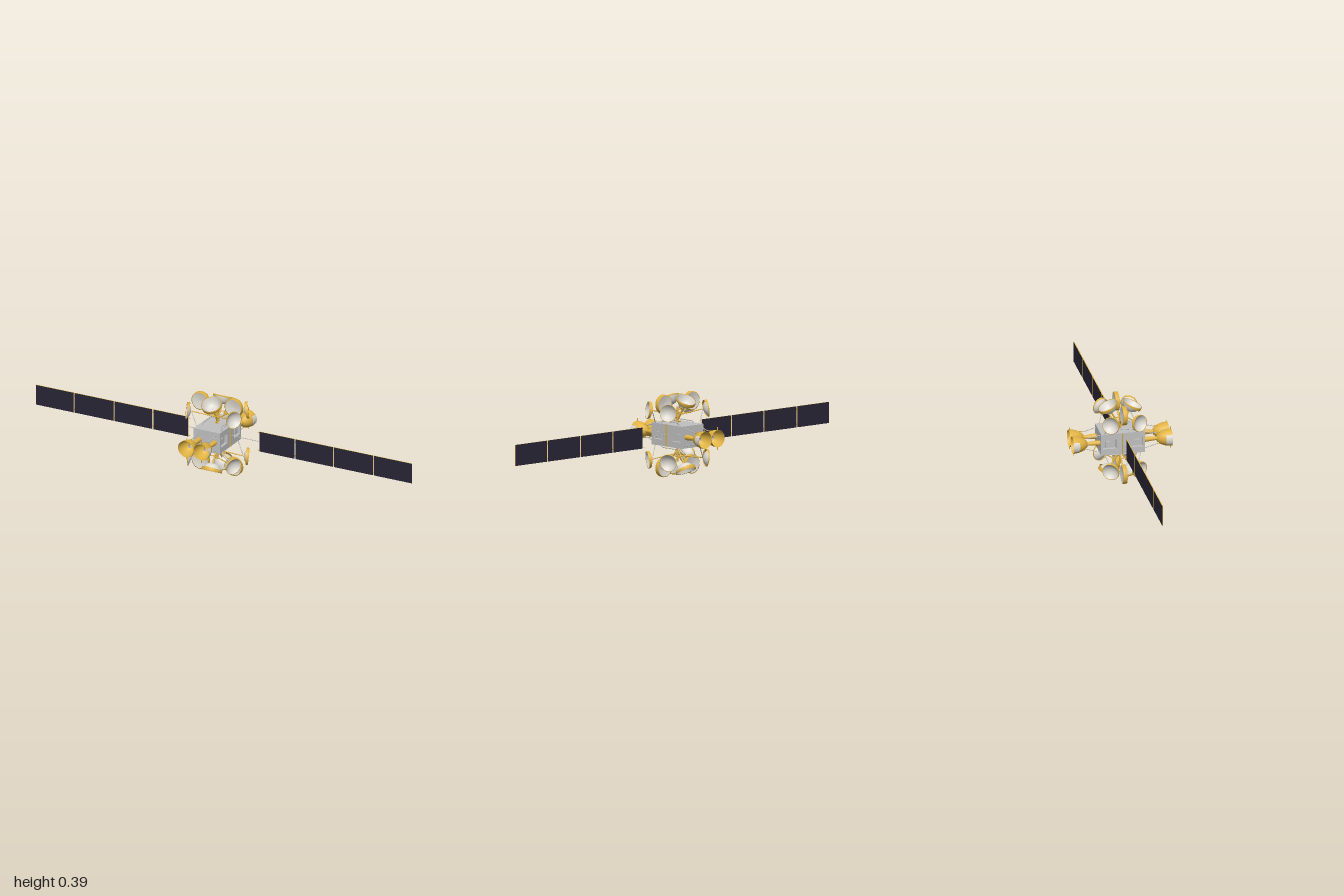
import * as THREE from 'three';

const mat = (name, color, side = THREE.FrontSide) => {
  const m = new THREE.MeshStandardMaterial({ color, side });
  m.name = name;
  return m;
};
const V = (x, y, z) => new THREE.Vector3(x, y, z);

export function createModel() {
  const grey = mat('hullGrey', 0xc0c0c0);
  const white = mat('dishWhite', 0xdfdbd3, THREE.DoubleSide);
  const gold = mat('goldFoil', 0xe0b242, THREE.DoubleSide);
  const navy = mat('solarCell', 0x282535);

  const model = new THREE.Group();
  model.name = 'satellite';
  const hub = new THREE.Group();
  hub.name = 'hub';
  hub.position.set(-0.035, 0.195, 0);
  model.add(hub);

  const add = (parent, name, geo, material, x = 0, y = 0, z = 0) => {
    const m = new THREE.Mesh(geo, material);
    m.name = name;
    m.position.set(x, y, z);
    parent.add(m);
    return m;
  };
  const box = (parent, name, material, w, h, d, x, y, z) =>
    add(parent, name, new THREE.BoxGeometry(w, h, d), material, x, y, z);
  // Straight rod between two points
  const rod = (parent, name, material, a, b, r = 0.002, r2 = r) => {
    const dir = b.clone().sub(a);
    const m = add(parent, name, new THREE.CylinderGeometry(r2, r, dir.length(), 10), material);
    m.position.copy(a).addScaledVector(dir, 0.5);
    m.quaternion.setFromUnitVectors(V(0, 1, 0), dir.normalize());
    return m;
  };
  const lathe = (pts, seg = 36, start = 0, sweep = Math.PI * 2) =>
    new THREE.LatheGeometry(pts.map(([r, y]) => new THREE.Vector2(r, y)), seg, start, sweep);

  // Dish with its rim centred on pos, opening along normal; skew widens the gold band on one side
  const dish = (name, pos, normal, r, depth, power, band, skew) => {
    const g = new THREE.Group();
    g.name = name;
    const bowl = [];
    for (let i = 0; i <= 12; i++) bowl.push([r * 0.97 * i / 12, depth * ((i / 12) ** power - 1)]);
    add(g, 'bowl', lathe(bowl), white);
    const bandGeo = lathe([[r * 0.95, 0], [r, 0.001], [r, -band * 0.5], [r * 0.975, -band]]);
    const p = bandGeo.attributes.position;
    for (let i = 0; i < p.count; i++)
      if (p.getY(i) < 0) p.setY(i, p.getY(i) * (1 + skew * p.getZ(i) / r));
    bandGeo.computeVertexNormals();
    add(g, 'rimBand', bandGeo, gold);
    g.position.copy(pos);
    g.quaternion.setFromUnitVectors(V(0, 1, 0), normal);
    hub.add(g);
  };

  // Body: core and recessed side frames
  box(hub, 'bodyCore', grey, 0.108, 0.105, 0.21, 0, 0, 0);
  const frame = new THREE.Shape();
  frame.moveTo(-0.105, -0.0525).lineTo(0.105, -0.0525).lineTo(0.105, 0.0525).lineTo(-0.105, 0.0525);
  for (const s of [-1, 1]) {
    const a = s * 0.064;
    const hole = new THREE.Path();
    hole.moveTo(a - 0.032, -0.023).lineTo(a - 0.032, 0.024).lineTo(a + 0.032, 0.024).lineTo(a + 0.032, -0.023);
    frame.holes.push(hole);
  }
  const frameGeo = new THREE.ExtrudeGeometry(frame, { depth: 0.016, bevelEnabled: false });
  frameGeo.translate(0, 0, -0.008).rotateY(Math.PI / 2);
  for (const sx of [-1, 1]) {
    add(hub, 'sideFrame', frameGeo, grey, sx * 0.062, 0, 0);
    box(hub, 'sideSeam', gold, 0.004, 0.104, 0.004, sx * 0.071, 0, 0);
    for (const sz of [-1, 1])
      box(hub, 'recessUnit', grey, 0.01, 0.03, 0.025, sx * 0.057, -0.004, sz * 0.07);
  }

  // Antenna clusters above and below
  for (const sy of [-1, 1]) {
    rod(hub, 'mast', gold, V(0, sy * 0.052, 0), V(0, sy * 0.13, 0), 0.006, 0.004);
    rod(hub, 'mastFoot', gold, V(0, sy * 0.062, -0.022), V(0, sy * 0.062, 0.022), 0.003);
    for (const s of [-1, 1]) {
      // Large tilted dish
      dish('mainDish', V(0, sy * 0.17, s * 0.059), V(0, sy * 0.9, s * 0.44).normalize(),
        0.0495, 0.038, 3.2, 0.011, 0.6 * s * sy);
      rod(hub, 'mainDishArm', gold, V(0, sy * 0.065, 0), V(0, sy * 0.135, s * 0.044), 0.004);
      rod(hub, 'mainDishBrace', gold, V(0, sy * 0.108, 0), V(0, sy * 0.1, s * 0.04), 0.0025);

      // Upright two-faced reflector
      const disc = new THREE.Group();
      disc.name = 'uprightReflector';
      disc.position.set(s * 0.088, sy * 0.15, 0);
      disc.rotation.x = Math.PI / 2;
      add(disc, 'edge', lathe([[0.041, 0.01], [0.045, 0.009], [0.045, -0.009], [0.041, -0.01]]), gold);
      for (const f of [-1, 1])
        add(disc, 'face', lathe([[0, f * 0.003], [0.022, f * 0.005], [0.042, f * 0.01]]), white);
      hub.add(disc);
      rod(hub, 'reflectorArm', gold, V(0, sy * 0.075, 0), V(s * 0.062, sy * 0.12, 0), 0.003);

      // Grey handling rail on the deck
      const rail = new THREE.CatmullRomCurve3([
        V(s * 0.05, sy * 0.05, -0.055), V(s * 0.05, sy * 0.063, -0.05),
        V(s * 0.05, sy * 0.063, 0.05), V(s * 0.05, sy * 0.05, 0.055)], false, 'catmullrom', 0.1);
      add(hub, 'deckRail', new THREE.TubeGeometry(rail, 24, 0.0022, 8), grey);

      // Outward side dishes
      for (const sz of [-1, 1]) {
        const pos = V(s * 0.125, sy * 0.118, sz * 0.071);
        const normal = V(s * 0.85, sy * 0.12, sz * 0.5).normalize();
        dish('sideDish', pos, normal, 0.041, 0.02, 2.2, 0.009, -0.7 * sz);
        const back = pos.clone().addScaledVector(normal, -0.022);
        rod(hub, 'sideDishStrut', grey, V(s * 0.06, sy * 0.05, sz * 0.088), back);
        rod(hub, 'sideDishBrace', gold, V(0, sy * 0.1, sz * 0.035), back, 0.0025);
      }
    }
  }

  // Paired gold horns on the front and back
  for (const sz of [-1, 1]) for (const sx of [-1, 1]) {
    const g = new THREE.Group();
    g.name = 'horn';
    g.position.set(sx * 0.041, 0, 0);
    g.rotation.x = sz * Math.PI / 2;
    hub.add(g);
    add(g, 'neck', lathe([[0.012, 0.1], [0.013, 0.115], [0.01, 0.145], [0.008, 0.172]], 20), gold);
    add(g, 'bell', lathe([[0.006, 0.166], [0.015, 0.168], [0.026, 0.18], [0.034, 0.195],
      [0.039, 0.213], [0.041, 0.23], [0.041, 0.237]]), gold);
    // Pale plate on the outer flank of the bell
    add(g, 'palePlate', lathe([[0.0385, 0.207], [0.0398, 0.213], [0.0418, 0.23], [0.0418, 0.237]],
      12, sx * Math.PI / 2 - 0.6, 1.2), white);
    add(g, 'feed', lathe([[0, 0.205], [0.007, 0.2], [0.014, 0.172]], 20), grey);
    for (const sy of [-1, 1]) {
      const elbow = V(sx * 0.041, sy * 0.028, sz * 0.167);
      rod(hub, 'hornStrut', grey, V(sx * 0.05, sy * 0.042, sz * 0.104), elbow);
      rod(hub, 'hornStrutTip', gold, elbow, V(sx * 0.041, sy * 0.031, sz * 0.187));
      rod(hub, 'hornPin', gold, V(sx * 0.041, sy * 0.039, sz * 0.233), V(sx * 0.041, sy * 0.054, sz * 0.233));
    }
  }

  // Solar wings: four gold-edged panels a side, hinges, and a thin boom
  const edges = [0.19, 0.378, 0.584, 0.796, 1];
  const panelFaces = [gold, gold, gold, gold, navy, navy];
  for (const s of [-1, 1]) {
    const wing = new THREE.Group();
    wing.name = s > 0 ? 'leftWing' : 'rightWing';
    model.add(wing);
    for (let i = 0; i < 4; i++) {
      const a = edges[i] + (i ? 0.003 : 0), b = edges[i + 1] - (i < 3 ? 0.003 : 0);
      box(wing, 'solarPanel', panelFaces, b - a, 0.1, 0.004, s * (a + b) / 2, 0.199, 0);
      if (i) for (const dy of [-0.035, 0.035])
        box(wing, 'hinge', gold, 0.008, 0.006, 0.003, s * edges[i], 0.199 + dy, 0);
    }
    rod(wing, 'boom', grey, V(-0.035 + s * 0.068, 0.199, 0), V(s * 0.192, 0.199, 0), 0.0015);
    for (const dy of [-0.045, 0.045])
      rod(wing, 'yokeTip', gold, V(s * 0.178, 0.199 + dy, 0), V(s * 0.192, 0.199 + dy, 0), 0.0015);
  }
  return model;
}
